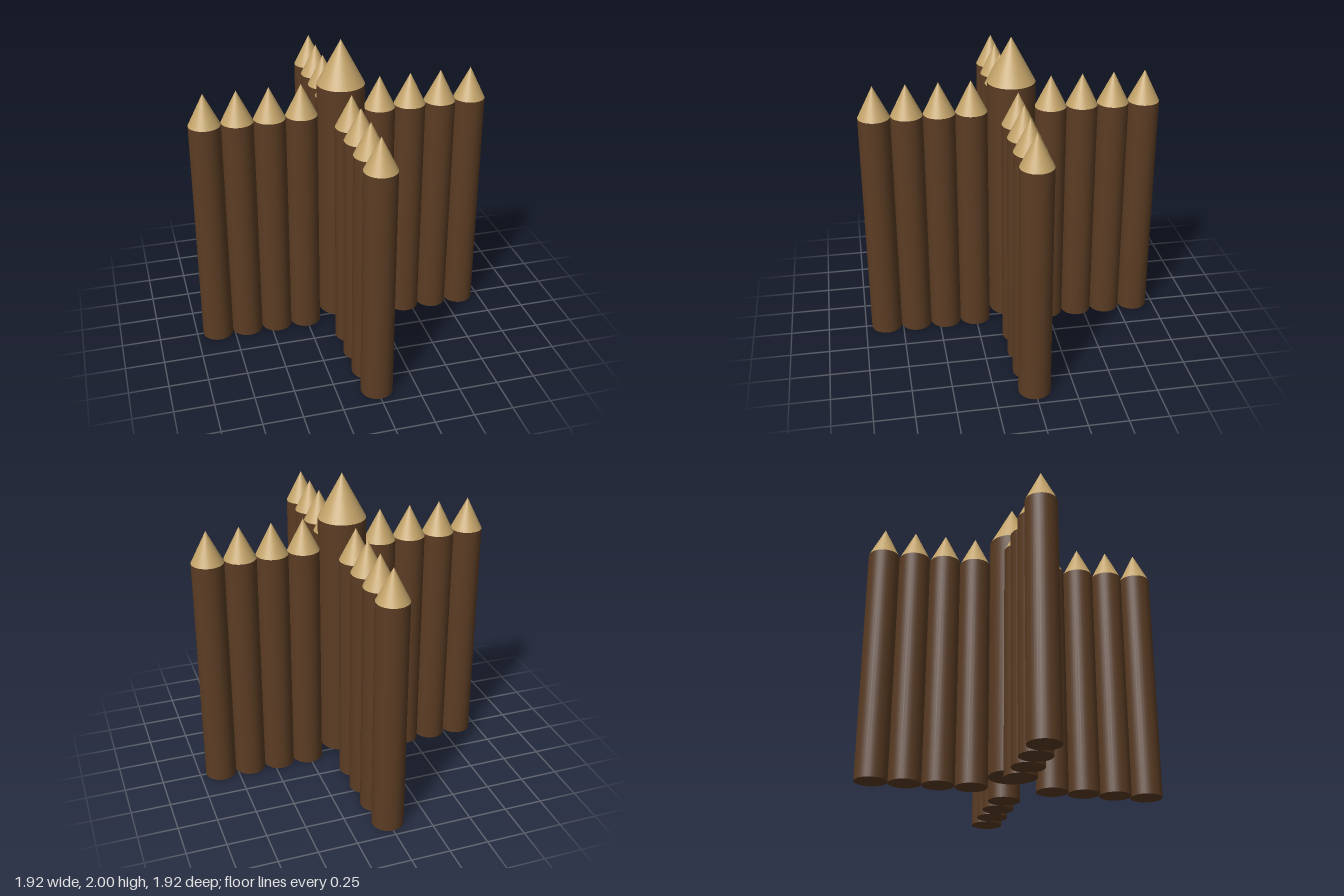
import * as THREE from 'three';

const bark = new THREE.MeshStandardMaterial({ color: 0x5c3d24 });
const cutWood = new THREE.MeshStandardMaterial({ color: 0xc4a46a });

// A round log with a sharpened tip, standing from y = bottom to y = tip
function sharpenedLog(name, radius, bottom, shoulder, tip) {
  const log = new THREE.Group();
  log.name = name;

  const trunk = new THREE.Mesh(
    new THREE.CylinderGeometry(radius, radius, shoulder - bottom, 32), bark);
  trunk.name = 'trunk';
  trunk.position.y = (bottom + shoulder) / 2;

  const point = new THREE.Mesh(
    new THREE.ConeGeometry(radius, tip - shoulder, 32), cutWood);
  point.name = 'sharpenedTip';
  point.position.y = (shoulder + tip) / 2;

  log.add(trunk, point);
  return log;
}

export function createModel() {
  const model = new THREE.Group();
  model.name = 'palisadeCrossing';

  // Thick centre post, slightly raised off the ground
  model.add(sharpenedLog('centrePost', 0.151, 0.08, 1.715, 2));

  // Four wall arms of four stakes each
  ['leftWall', 'backWall', 'rightWall', 'frontWall'].forEach((name, arm) => {
    const wall = new THREE.Group();
    wall.name = name;
    for (let i = 0; i < 4; i++) {
      const stake = sharpenedLog('stake', 0.101, 0, 1.53, 1.735);
      stake.position.x = 0.253 + i * 0.202;
      wall.add(stake);
    }
    wall.rotation.y = arm * Math.PI / 2;
    model.add(wall);
  });

  return model;
}
